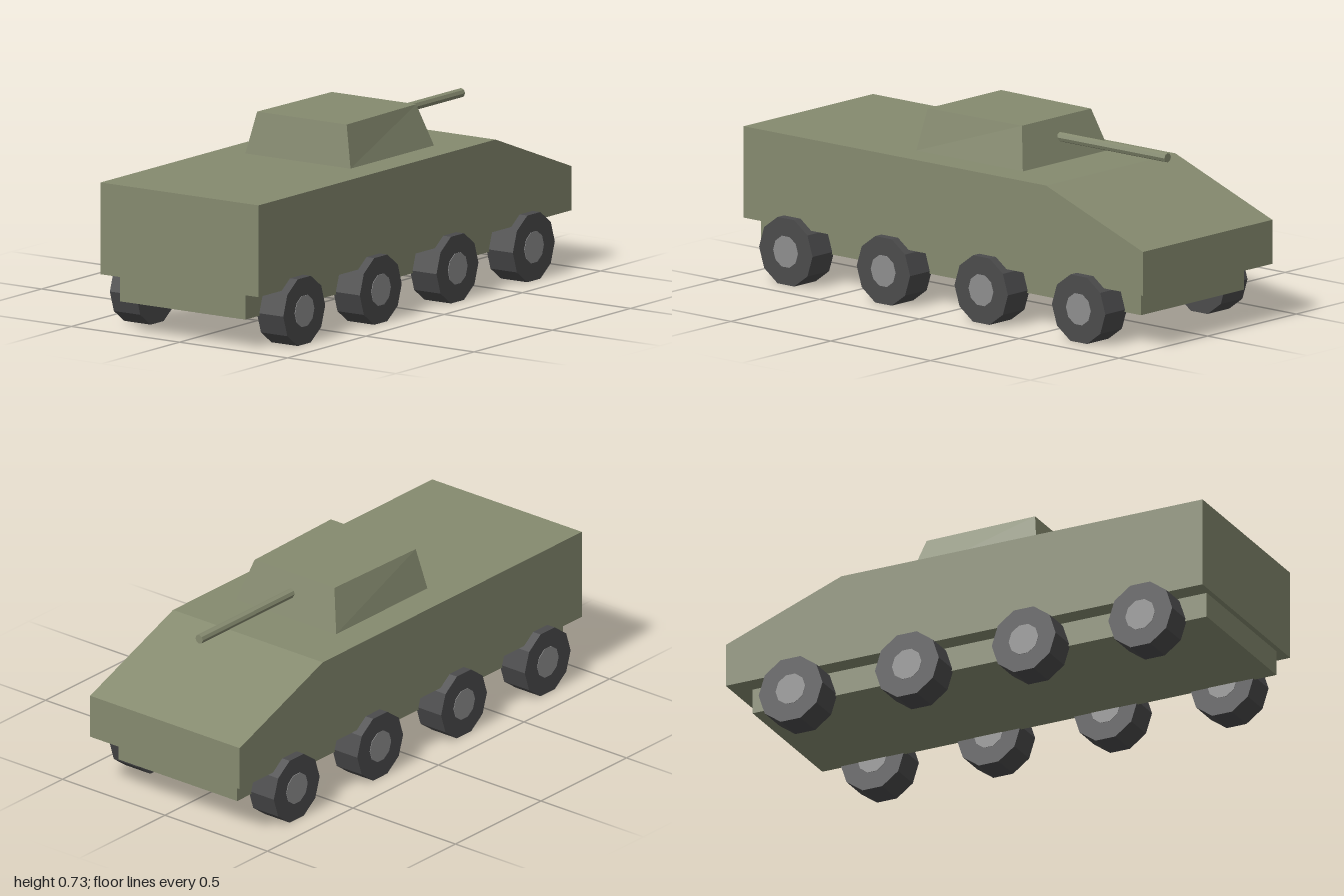
import * as THREE from 'three';

const green = new THREE.MeshStandardMaterial({ color: 0x858a6f, flatShading: true, name: 'armourGreen' });
const rubber = new THREE.MeshStandardMaterial({ color: 0x4b4b4c, flatShading: true, name: 'tyreGrey' });
const metal = new THREE.MeshStandardMaterial({ color: 0x8e8e8e, flatShading: true, name: 'hubGrey' });

function add(parent, name, geometry, material, x = 0, y = 0, z = 0) {
  const mesh = new THREE.Mesh(geometry, material);
  mesh.name = name;
  mesh.position.set(x, y, z);
  parent.add(mesh);
  return mesh;
}

// Side profile in [z, y], extruded across the width
function profileBody(points, width) {
  const shape = new THREE.Shape(points.map(([z, y]) => new THREE.Vector2(-z, y)));
  const geometry = new THREE.ExtrudeGeometry(shape, { depth: width, bevelEnabled: false });
  return geometry.translate(0, 0, -width / 2).rotateY(Math.PI / 2);
}

// Box whose top is pulled in, more at the gun end
function turretGeometry() {
  const geometry = new THREE.BoxGeometry(2, 1, 2);
  const p = geometry.attributes.position;
  for (let i = 0; i < p.count; i++) {
    const top = p.getY(i) > 0, gunEnd = p.getZ(i) < 0;
    const halfWidth = top ? (gunEnd ? 0.195 : 0.207) : 0.243;
    const z = gunEnd ? (top ? -0.243 : -0.29) : (top ? 0.218 : 0.243);
    p.setXYZ(i, p.getX(i) * halfWidth, top ? 0.727 : 0.567, z);
  }
  geometry.computeVertexNormals();
  return geometry;
}

export function createModel() {
  const model = new THREE.Group();
  model.name = 'armouredCarrier';

  // Hull with sloped nose, and the narrower belly below
  add(model, 'hull', profileBody([[1, 0.216], [-1, 0.216], [-1, 0.385], [-0.515, 0.567], [1, 0.567]], 0.73), green);
  add(model, 'belly', new THREE.BoxGeometry(0.58, 0.12, 1.905), green, 0, 0.178, 0.0275);

  // Turret and gun
  add(model, 'turret', turretGeometry(), green);
  const barrel = new THREE.CylinderGeometry(0.018, 0.018, 0.6, 8).rotateX(Math.PI / 2);
  add(model, 'gunBarrel', barrel, green, 0, 0.655, -0.5);

  // Four wheels on each side, hubs standing just proud of the tyres
  const tyre = new THREE.CylinderGeometry(0.134, 0.134, 0.122, 10).rotateZ(Math.PI / 2);
  const hub = new THREE.CylinderGeometry(0.062, 0.062, 0.126, 10).rotateZ(Math.PI / 2);
  for (const side of [-1, 1]) {
    for (const z of [0.757, 0.268, -0.222, -0.71]) {
      const wheel = new THREE.Group();
      wheel.name = 'wheel';
      wheel.position.set(side * 0.34, 0.1275, z);
      add(wheel, 'tyre', tyre, rubber);
      add(wheel, 'hub', hub, metal);
      model.add(wheel);
    }
  }
  return model;
}
